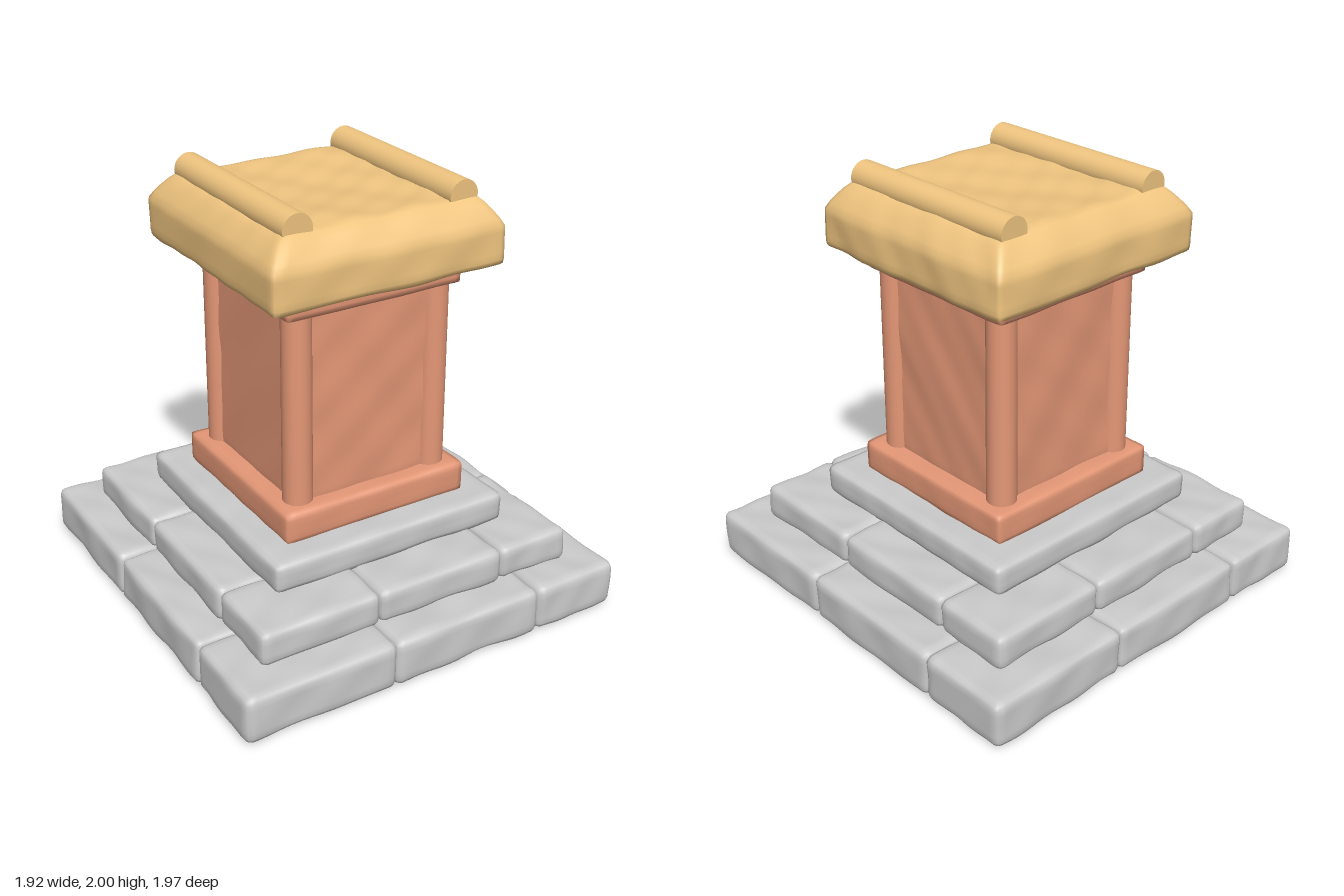
import * as THREE from 'three';
import { mergeVertices } from 'three/addons/utils/BufferGeometryUtils.js';

const paint = (color) => new THREE.MeshStandardMaterial({ color });
const stone = paint(0xcccccc);
const earth = paint(0xb5713f);
const clay = paint(0xe59877);
const sand = paint(0xf0c580);

// Smooth, repeatable bumps
function bump(p, s) {
  return 0.5 * Math.sin(9 * p.x + 4 * p.z + s * 1.7) * Math.cos(8 * p.z - 5 * p.y + s * 2.3)
    + 0.3 * Math.sin(17 * p.x - 11 * p.z + 13 * p.y + s * 3.1)
    + 0.2 * Math.sin(31 * p.z + 19 * p.x - 23 * p.y + s * 0.9);
}

// Hand-carved block: finely divided box with rounded edges and an uneven surface
function carvedBox(w, h, d, { r = 0.03, amp = 0.006, seed = 0, step = 0.03, shape } = {}) {
  const n = (size) => Math.max(4, Math.round(size / step));
  let geo = new THREE.BoxGeometry(w, h, d, n(w), n(h), n(d));
  geo.deleteAttribute('normal');
  geo.deleteAttribute('uv');
  geo = mergeVertices(geo);
  const half = new THREE.Vector3(w / 2, h / 2, d / 2);
  const inner = half.clone().subScalar(r);
  const pos = geo.attributes.position;
  const p = new THREE.Vector3(), c = new THREE.Vector3();
  for (let i = 0; i < pos.count; i++) {
    p.fromBufferAttribute(pos, i);
    c.copy(p).clamp(inner.clone().negate(), inner);
    const dir = p.clone().sub(c).normalize();
    p.copy(c).addScaledVector(dir, r + amp * bump(p, seed));
    if (shape) shape(p);
    pos.setXYZ(i, p.x, p.y, p.z);
  }
  geo.computeVertexNormals();
  return geo;
}

function add(parent, name, geo, mat, x, y, z) {
  const mesh = new THREE.Mesh(geo, mat);
  mesh.name = name;
  mesh.position.set(x, y, z);
  parent.add(mesh);
  return mesh;
}

// Hollow square course: two stones per side, turned around the centre like a pinwheel
function stepRing(name, outer, inner, mid, y0, y1, scaleX, mat, seed) {
  const ring = new THREE.Group();
  ring.name = name;
  for (let k = 0; k < 4; k++) {
    const side = new THREE.Group();
    side.name = name + 'Side';
    side.rotation.y = k * Math.PI / 2;
    [[-outer, -mid], [-mid, inner]].forEach(([a, b], j) => {
      const geo = carvedBox(b - a, y1 - y0, outer - inner,
        { r: 0.032, amp: 0.009, seed: seed + k * 2 + j, step: 0.026 });
      add(side, 'stepStone', geo, mat, (a + b) / 2, (y0 + y1) / 2, (outer + inner) / 2);
    });
    ring.add(side);
  }
  ring.scale.x = scaleX;
  return ring;
}

export function createModel() {
  const model = new THREE.Group();
  model.name = 'stonePedestal';

  // Stepped base; the lowest stones have earth-coloured undersides
  const grounded = [stone, stone, stone, earth, stone, stone];
  model.add(stepRing('lowerStep', 0.98, 0.535, 0.24, 0.01, 0.228, 0.975, grounded, 1));
  model.add(stepRing('middleStep', 0.82, 0.44, 0.22, 0.22, 0.38, 0.967, stone, 11));
  add(model, 'upperStep', carvedBox(1.19, 0.14, 1.19, { r: 0.025, seed: 21 }), stone, 0, 0.442, 0);

  // Pillar: plinth, panelled shaft and moulding
  add(model, 'plinth', carvedBox(0.925, 0.15, 0.915, { r: 0.014, amp: 0.004, seed: 22 }), clay, 0, 0.575, 0);
  add(model, 'shaft', carvedBox(0.75, 0.94, 0.75, { r: 0.015, amp: 0.008, seed: 23 }), clay, 0, 1.09, 0);
  add(model, 'moulding', carvedBox(0.86, 0.11, 0.86, { r: 0.01, amp: 0.003, seed: 24 }), clay, 0, 1.58, -0.005);

  // Round corner columns
  const columnGeo = new THREE.CylinderGeometry(0.066, 0.068, 0.94, 24);
  for (const x of [-0.345, 0.345]) {
    for (const z of [-0.345, 0.345]) add(model, 'cornerColumn', columnGeo, clay, x, 1.09, z);
  }

  // Roof slab with sloped shoulders and a slightly sagging top
  const roofGeo = carvedBox(1.13, 0.3, 1.13, {
    r: 0.022, amp: 0.009, seed: 25,
    shape: (p) => {
      const t = Math.max(0, (p.y - 0.025) / 0.125);
      const s = 1 - 0.165 * Math.pow(t, 1.25);
      const sag = Math.max(0, 1 - (p.x * p.x + p.z * p.z) / 0.25);
      p.x *= s;
      p.z *= s;
      if (t > 0.8) p.y -= 0.012 * sag;
    },
  });
  add(model, 'roofSlab', roofGeo, sand, 0, 1.77, -0.008);

  // Bolsters along both edges of the roof
  const bolsterGeo = new THREE.CylinderGeometry(0.07, 0.07, 0.94, 28).rotateX(Math.PI / 2);
  for (const x of [-0.4, 0.4]) add(model, 'roofBolster', bolsterGeo, sand, x, 1.93, -0.01);

  return model;
}
